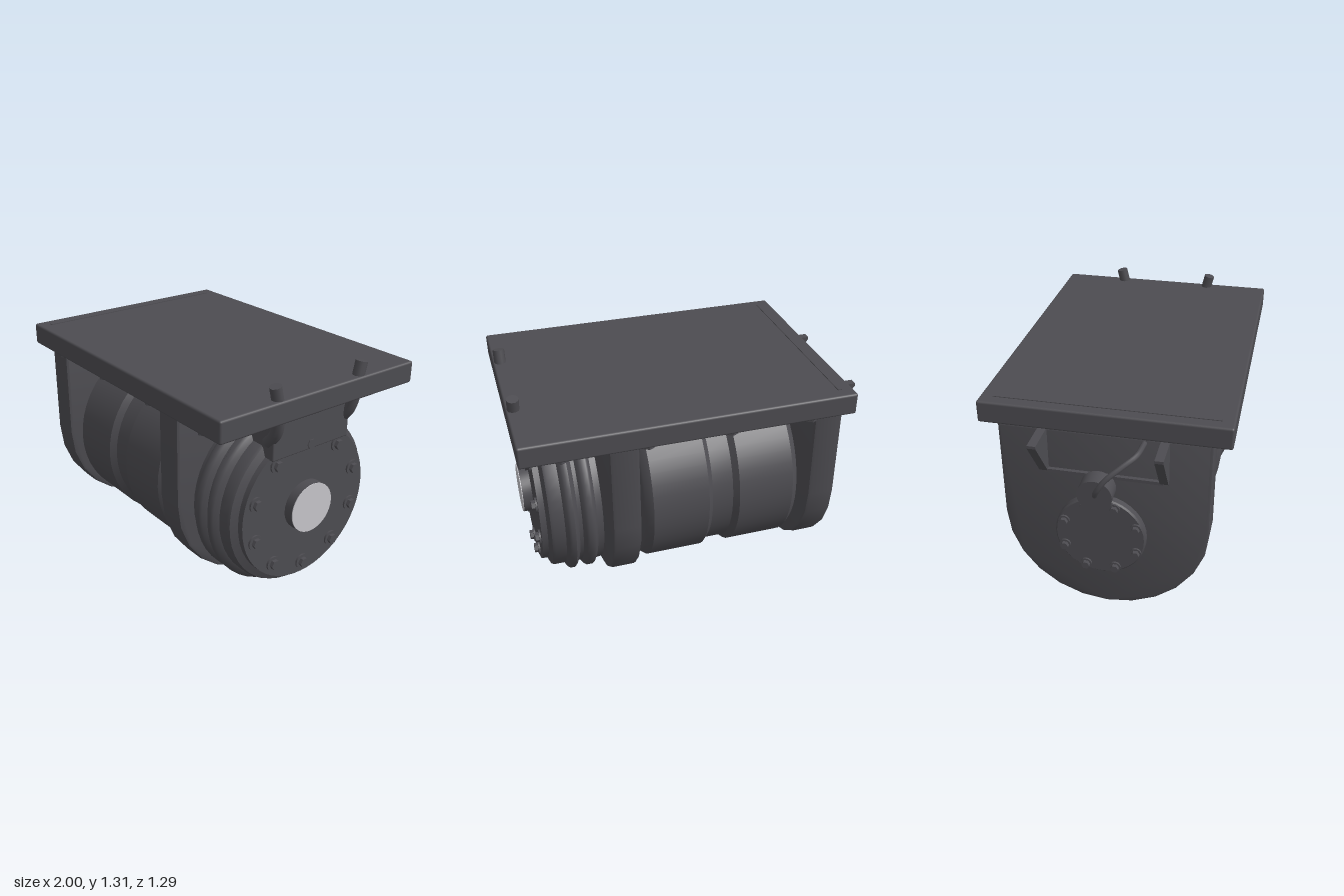
import * as THREE from 'three';
import { toCreasedNormals } from 'three/addons/utils/BufferGeometryUtils.js';
import { RoundedBoxGeometry } from 'three/addons/geometries/RoundedBoxGeometry.js';

const AXIS_Y = 0.56; // height of the drum axis

export function createModel() {
  const model = new THREE.Group();
  const darkMetal = new THREE.MeshStandardMaterial({ color: 0x4d4c51 });
  darkMetal.name = 'darkMetal';
  const lightMetal = new THREE.MeshStandardMaterial({ color: 0xc6c5ca });
  lightMetal.name = 'lightMetal';

  const add = (name, geometry, x = 0, y = 0, z = 0, material = darkMetal, parent = model) => {
    const mesh = new THREE.Mesh(geometry, material);
    mesh.name = name;
    mesh.position.set(x, y, z);
    parent.add(mesh);
    return mesh;
  };

  // Turned part along x, from [x, radius] pairs, closed at both ends
  const turned = (profile, sides = 36) => {
    const pts = [[profile[0][0], 0], ...profile, [profile[profile.length - 1][0], 0]];
    const g = new THREE.LatheGeometry(pts.map(([x, r]) => new THREE.Vector2(r, x)), sides);
    return toCreasedNormals(g.rotateZ(-Math.PI / 2), 0.6);
  };
  const rod = (x0, x1, r, sides) => turned([[x0, r], [x1, r]], sides);
  const tube = (points, radius, sides) => new THREE.TubeGeometry(
    new THREE.CatmullRomCurve3(points.map((p) => new THREE.Vector3(...p))), 20, radius, sides);

  // Bolt pointing along +x: washer and hexagonal head
  const bolt = (name, washerR, headR, washerH, height) => {
    const group = new THREE.Group();
    group.name = name;
    add('washer', rod(0, washerH, washerR, 18), 0, 0, 0, darkMetal, group);
    add('boltHead', rod(washerH, height, headR, 6), 0, 0, 0, darkMetal, group);
    model.add(group);
    return group;
  };

  // Mounting plate with its seam
  add('mountingPlate', new RoundedBoxGeometry(1.79, 0.12, 1.295, 2, 0.012), 0.1, 1.18, 0);
  add('plateSeam', new THREE.BoxGeometry(0.022, 0.006, 1.16), -0.72, 1.241, 0);

  // U-shaped hangers: straight sides over a faceted half circle
  const R = 0.555, bevel = 0.018;
  const outline = [new THREE.Vector2(R, 1.12 - AXIS_Y), new THREE.Vector2(-R, 1.12 - AXIS_Y)];
  for (let i = 0; i <= 12; i++) {
    const a = Math.PI + (i / 12) * Math.PI;
    outline.push(new THREE.Vector2(R * Math.cos(a), R * Math.sin(a)));
  }
  const hanger = toCreasedNormals(new THREE.ExtrudeGeometry(new THREE.Shape(outline), {
    depth: 0.16 - 2 * bevel, bevelEnabled: true, bevelThickness: bevel,
    bevelSize: bevel, bevelOffset: -bevel, bevelSegments: 2,
  }).translate(0, 0, bevel).rotateY(Math.PI / 2), 0.5);
  add('leftHanger', hanger, -0.77, AXIS_Y);
  add('rightHanger', hanger, 0.37, AXIS_Y);

  // Shaft and drum with a waist groove
  add('shaft', rod(-0.84, 0.6, 0.15), 0, AXIS_Y);
  add('drum', turned([
    [-0.573, 0.47], [-0.565, 0.49], [-0.53, 0.518], [-0.21, 0.518], [-0.18, 0.488],
    [-0.06, 0.488], [-0.03, 0.518], [0.29, 0.518], [0.327, 0.49], [0.335, 0.47],
  ], 48), 0, AXIS_Y);

  // Ribbed drive housing with its bolted face
  add('driveHousing', turned([
    [0.565, 0.475], [0.6, 0.48], [0.615, 0.505], [0.625, 0.51], [0.65, 0.51], [0.665, 0.5],
    [0.68, 0.475], [0.7, 0.475], [0.715, 0.5], [0.725, 0.51], [0.745, 0.51], [0.76, 0.5],
    [0.775, 0.472], [0.835, 0.472], [0.85, 0.465], [0.867, 0.425], [0.9, 0.425],
  ], 48), 0, AXIS_Y);
  for (let i = 0; i < 10; i++) {
    const a = (i / 10) * Math.PI * 2;
    const b = bolt('driveBolt', 0.042, 0.028, 0.01, 0.03);
    b.position.set(0.9, AXIS_Y - 0.358 * Math.cos(a), 0.358 * Math.sin(a));
  }
  add('outputHub', rod(0.89, 0.953, 0.14), 0, AXIS_Y);
  add('outputHubFace', rod(0.953, 0.957, 0.139), 0, AXIS_Y, 0, lightMetal);

  // Terminal box over the drive, with two hoses passing through the plate
  add('terminalBox', new RoundedBoxGeometry(0.295, 0.215, 0.52, 2, 0.008), 0.777, 0.997, 0);
  for (const s of [1, -1]) {
    const path = [[0.955, 1.31, 0.29], [0.955, 1.22, 0.27], [0.95, 1.12, 0.257],
      [0.925, 1.04, 0.25], [0.87, 0.975, 0.245]].map(([x, y, z]) => [x, y, s * z]);
    add('hose', tube(path, 0.032, 10));
    const cap = add('hoseEnd', new THREE.CircleGeometry(0.032, 10), ...path[0]);
    cap.rotation.x = -Math.PI / 2 + s * 0.22;
  }

  // Bolts under the plate, in a row along each side
  for (const x of [-0.57, -0.12, 0.33, 0.78]) {
    for (const s of [1, -1]) {
      const b = bolt('plateBolt', 0.052, 0.037, 0.014, 0.038);
      b.rotation.z = -Math.PI / 2;
      b.position.set(x, 1.121, s * 0.57);
    }
  }

  // Bearing flange on the far end
  add('bearingFlange', turned([[-0.88, 0.232], [-0.872, 0.24], [-0.838, 0.24], [-0.83, 0.232]]), 0, AXIS_Y);
  for (let i = 0; i < 8; i++) {
    const a = ((i + 0.5) / 8) * Math.PI * 2;
    const b = bolt('flangeBolt', 0.03, 0.022, 0.01, 0.03);
    b.rotation.y = Math.PI;
    b.position.set(-0.88, AXIS_Y + 0.205 * Math.cos(a), 0.205 * Math.sin(a));
  }

  // Triangular gussets joined by a ledge
  const gusset = new THREE.Shape([[-0.95, 1.115], [-0.95, 1.1], [-0.79, 0.87], [-0.765, 0.86], [-0.765, 1.115]]
    .map(([x, y]) => new THREE.Vector2(x, y)));
  const gussetGeometry = new THREE.ExtrudeGeometry(gusset, { depth: 0.045, bevelEnabled: false });
  for (const s of [1, -1]) add('gusset', gussetGeometry, 0, 0, s * 0.315 - 0.0225);
  add('gussetLedge', new THREE.BoxGeometry(0.025, 0.018, 0.62), -0.778, 0.872, 0);

  // Sensor and its cable
  add('sensor', rod(-0.975, -0.88, 0.09, 24), 0, 0.88);
  add('sensorCable', tube([[-0.965, 0.88, 0], [-0.985, 0.92, 0.015], [-0.98, 0.99, 0.06],
    [-0.94, 1.045, 0.13], [-0.88, 1.08, 0.19], [-0.77, 1.09, 0.21]], 0.015, 8));

  return model;
}
